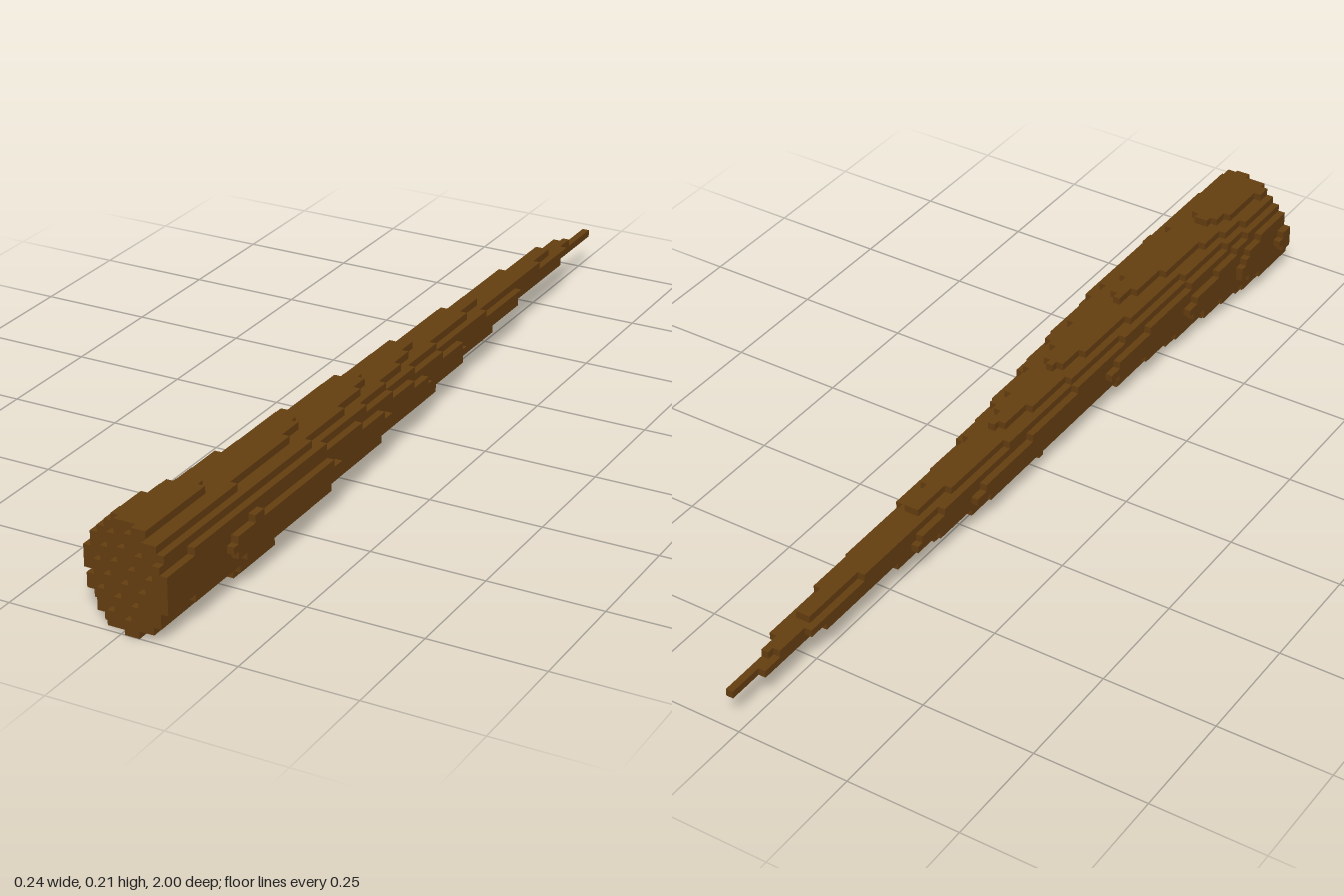
import * as THREE from 'three';

const S = 0.016; // voxel size
const NX = 15, NY = 13, NZ = 125;

// Outline of the spike along its length: z, left x, right x, bottom y, top y
const SECTIONS = [
  [-1.0, 0.007, 0.025, 0.079, 0.097],
  [-0.92, 0.0, 0.025, 0.079, 0.098],
  [-0.84, -0.013, 0.034, 0.08, 0.115],
  [-0.7, -0.024, 0.041, 0.076, 0.128],
  [-0.5, -0.028, 0.052, 0.062, 0.13],
  [-0.35, -0.041, 0.058, 0.048, 0.14],
  [-0.2, -0.052, 0.068, 0.034, 0.145],
  [0.0, -0.056, 0.085, 0.024, 0.158],
  [0.2, -0.062, 0.1, 0.032, 0.174],
  [0.45, -0.074, 0.116, 0.02, 0.186],
  [0.7, -0.09, 0.12, 0.0, 0.194],
  [0.82, -0.106, 0.108, 0.0, 0.208],
  [1.0, -0.12, 0.106, 0.0, 0.208],
];

function sectionAt(z) {
  let i = 0;
  while (i < SECTIONS.length - 2 && z > SECTIONS[i + 1][0]) i++;
  const a = SECTIONS[i], b = SECTIONS[i + 1];
  const t = THREE.MathUtils.clamp((z - a[0]) / (b[0] - a[0]), 0, 1);
  return a.map((v, k) => v + (b[k] - v) * t);
}

// A voxel is solid inside the tapering ellipse and behind the oblique cut end
function isSolid(i, j, k) {
  if (i < 0 || j < 0 || k < 0 || i >= NX || j >= NY || k >= NZ) return false;
  const x = (i + 0.5) * S - 0.12, y = (j + 0.5) * S, z = (k + 0.5) * S - 1;
  if (z > 0.975 + 0.35 * (x - 0.5 * (y - 0.1))) return false;
  const [, x0, x1, y0, y1] = sectionAt(z);
  const dx = (2 * x - x0 - x1) / (x1 - x0);
  const dy = (2 * y - y0 - y1) / (y1 - y0);
  return dx * dx + dy * dy <= 1.02;
}

// Only the exposed sides of the solid voxels become faces
function voxelGeometry() {
  const positions = [], normals = [], indices = [];
  const corners = [[0, 0], [1, 0], [1, 1], [0, 1]];
  const addFace = (cell, axis, sign) => {
    const u = (axis + 1) % 3, v = (axis + 2) % 3;
    const base = positions.length / 3;
    for (const [cu, cv] of corners) {
      const p = [...cell];
      p[axis] += sign > 0 ? 1 : 0;
      p[u] += cu;
      p[v] += cv;
      positions.push(p[0] * S - 0.12, p[1] * S, p[2] * S - 1);
      const n = [0, 0, 0];
      n[axis] = sign;
      normals.push(...n);
    }
    const order = sign > 0 ? [0, 1, 2, 0, 2, 3] : [0, 2, 1, 0, 3, 2];
    indices.push(...order.map((o) => base + o));
  };
  for (let i = 0; i < NX; i++)
    for (let j = 0; j < NY; j++)
      for (let k = 0; k < NZ; k++) {
        if (!isSolid(i, j, k)) continue;
        for (let axis = 0; axis < 3; axis++)
          for (const sign of [-1, 1]) {
            const next = [i, j, k];
            next[axis] += sign;
            if (!isSolid(...next)) addFace([i, j, k], axis, sign);
          }
      }
  const geometry = new THREE.BufferGeometry();
  geometry.setAttribute('position', new THREE.Float32BufferAttribute(positions, 3));
  geometry.setAttribute('normal', new THREE.Float32BufferAttribute(normals, 3));
  geometry.setIndex(indices);
  return geometry;
}

export function createModel() {
  const group = new THREE.Group();
  group.name = 'woodenSpike';
  const brownWood = new THREE.MeshStandardMaterial({ color: 0x653e10 });
  brownWood.name = 'brownWood';
  const shaft = new THREE.Mesh(voxelGeometry(), brownWood);
  shaft.name = 'taperedShaft';
  group.add(shaft);
  return group;
}
